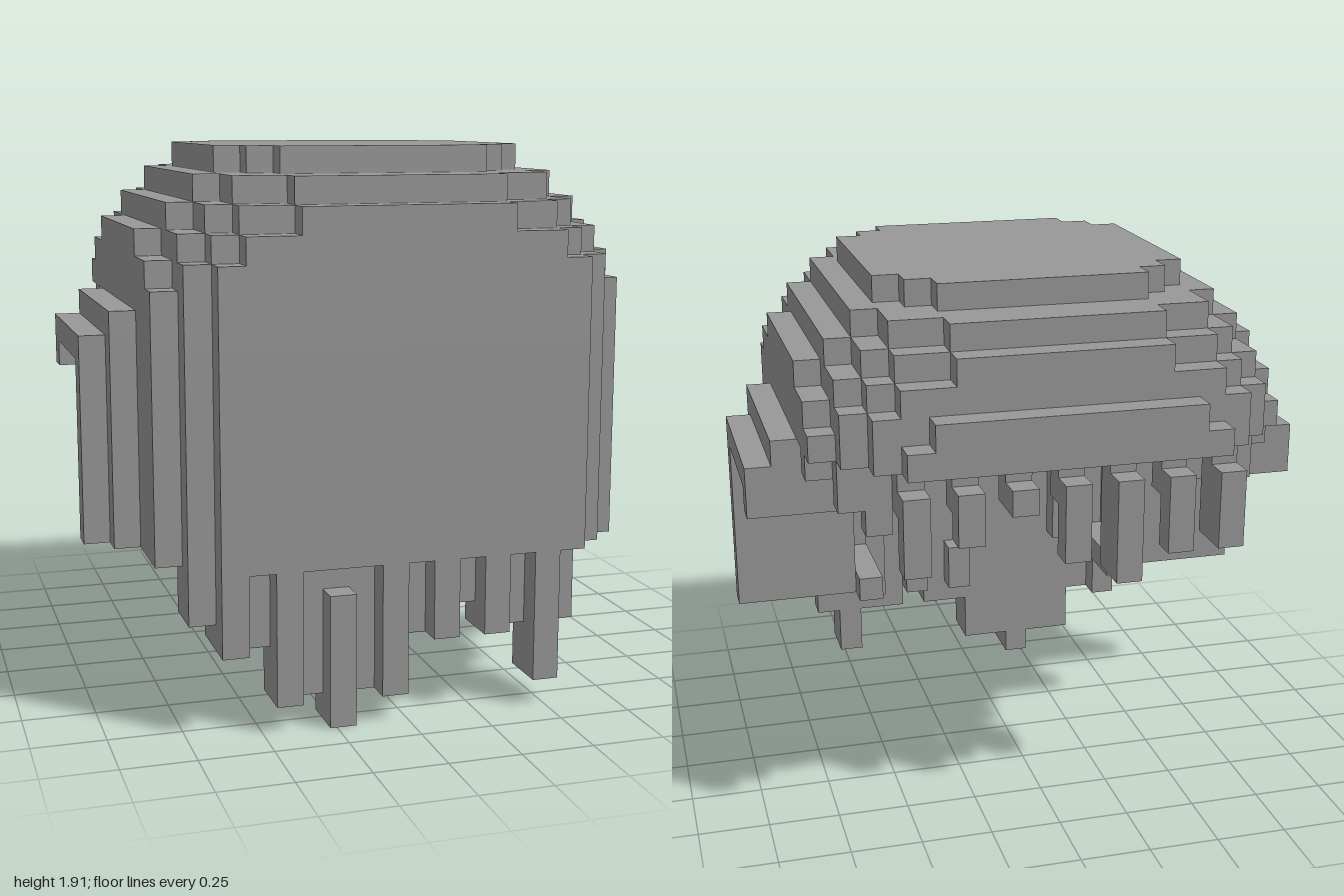
import * as THREE from 'three';

// Everything is laid out in whole blocks; the group is scaled at the end.
const hair = new THREE.MeshStandardMaterial({ color: 0x989898 });
hair.name = 'grey hair';

// Corner staircase from [half width, half depth] pairs, narrowest first.
function stairs(steps) {
  const pts = [];
  steps.forEach(([x, z], i) => {
    if (i) pts.push([steps[i - 1][0], z]);
    pts.push([x, z]);
  });
  return pts;
}

// Closed outline, the staircase mirrored to four corners.
function ring(steps) {
  const q = stairs(steps);
  const r = [...q].reverse();
  return [
    ...q,
    ...r.map(([x, z]) => [x, -z]),
    ...q.map(([x, z]) => [-x, -z]),
    ...r.map(([x, z]) => [-x, z]),
  ];
}

// C-shaped outline wrapping a cavity, cut off at z = cut.
function wrap(outer, inner, cut) {
  const half = [
    ...stairs(outer),
    [outer.at(-1)[0], cut],
    [inner.at(-1)[0], cut],
    ...stairs(inner).reverse(),
  ];
  return [...half, ...[...half].reverse().map(([x, z]) => [-x, z])];
}

const toPoints = (list) => list.map(([x, z]) => new THREE.Vector2(x, -z));

export function createModel() {
  const model = new THREE.Group();
  model.name = 'blockyHair';

  function slab(name, outline, y0, y1, hole) {
    const shape = new THREE.Shape(toPoints(outline));
    if (hole) shape.holes.push(new THREE.Path(toPoints(hole)));
    const geo = new THREE.ExtrudeGeometry(shape, { depth: y1 - y0, bevelEnabled: false });
    geo.rotateX(-Math.PI / 2).translate(0, y0, 0);
    const mesh = new THREE.Mesh(geo, hair);
    mesh.name = name;
    model.add(mesh);
  }

  function block(name, x0, x1, y0, y1, z0, z1) {
    const geo = new THREE.BoxGeometry(x1 - x0, y1 - y0, z1 - z0);
    geo.translate((x0 + x1) / 2, (y0 + y1) / 2, (z0 + z1) / 2);
    const mesh = new THREE.Mesh(geo, hair);
    mesh.name = name;
    model.add(mesh);
  }

  // Crown: stepped layers, the lower ones hollow
  const crown = [
    { y: 15, out: [[7, 9], [8, 8], [9, 7]], hole: [[3, 5], [4, 4], [5, 3]] },
    { y: 16, out: [[7, 9], [8, 8], [9, 6]], hole: [[2, 4], [3, 3], [4, 2]] },
    { y: 17, out: [[6, 9], [7, 8], [8, 7], [9, 4]] },
    { y: 18, out: [[4, 9], [6, 8], [7, 7], [8, 5]] },
    { y: 19, out: [[4, 8], [6, 7], [7, 5]] },
    { y: 20, out: [[4, 6], [5, 5], [6, 4]] },
  ];
  for (const { y, out, hole } of crown) {
    slab('crownLayer', ring(out), y, y + 1, hole && ring(hole));
  }

  // Wall around the lower head, thickening inward near the top
  const wall = [[7, 9], [8, 8], [9, 7], [10, 4], [11, 3]];
  slab('hairWall', wrap(wall, [[4, 7], [5, 6], [6, 5]], 2), 6, 13);
  slab('hairWallUpper', wrap(wall, [[4, 6], [5, 5], [6, 4]], 2), 13, 14);
  slab('hairWallTop', wrap(wall.slice(0, 4), [[3, 6], [4, 5], [5, 4]], 2), 14, 15);

  // Side beams over the ear openings, each with a lip across its end
  for (const s of [-1, 1]) {
    const side = (name, a, b, ...rest) =>
      block(name, Math.min(a * s, b * s), Math.max(a * s, b * s), ...rest);
    side('sideBeam', 6, 11, 13, 14, -4, 2);
    side('sideBeamTop', 6, 10, 14, 15, -4, 2);
    side('beamLip', 6, 11, 12, 13, -4, -3);
    side('innerTuft', 5, 6, 6, 7, 1, 5);
    side('cornerTuft', 8, 9, 14, 15, -6, -5);
  }

  // Raised roll on the -z edge
  block('browRoll', -6, 6, 15, 16, -10, -9);
  block('browRollTop', -5, 5, 16, 17, -10, -9);

  // Fringe: [x, bottom, depth] of each long lock, with short ones between
  const fringe = [
    [-7, 11, 2], [-5, 11, 1], [-3, 10, 2], [-1, 11, 1], [1, 13, 1], [3, 12, 1], [5, 11, 1],
  ];
  for (const [x, bottom, depth] of fringe) {
    block('fringeRoot', x, x + 1, 13, 15, -8, -7);
    block('fringeLock', x, x + 1, bottom, 14, -9, depth - 9);
  }
  for (const x of [-8, 6, 7]) block('fringeCorner', x, x + 1, x === 6 ? 12 : 13, 15, -7, -6);
  for (const x of [-4, -2, 0, 2, 4]) block('fringeShort', x, x + 1, 14, 15, -7, -6);

  // Hanging locks on the +z wall: [x, bottom, z0, z1]
  const locks = [
    [-8, 4, 6, 8], [-7, 3, 6, 9], [-6, 3, 7, 8], [-5, 1, 7, 9], [-4, 1, 7, 8],
    [-3, 1, 7, 8], [-2, 1, 7, 8], [-1, 1, 7, 9], [0, 3, 7, 8], [1, 3, 7, 9],
    [2, 4, 7, 8], [3, 3, 7, 9], [4, 3, 7, 8], [5, 1, 7, 9], [6, 3, 7, 8],
  ];
  for (const [x, bottom, z0, z1] of locks) block('hangingLock', x, x + 1, bottom, 6, z0, z1);
  for (const x of [0, 2, 4]) block('innerLock', x, x + 1, 4, 6, 6, 7);
  block('longLock', -3, -2, 0, 5, 7, 9);

  model.scale.setScalar(1 / 11);
  model.position.z = 0.5 / 11;
  const root = new THREE.Group();
  root.name = 'hair';
  root.add(model);
  return root;
}
